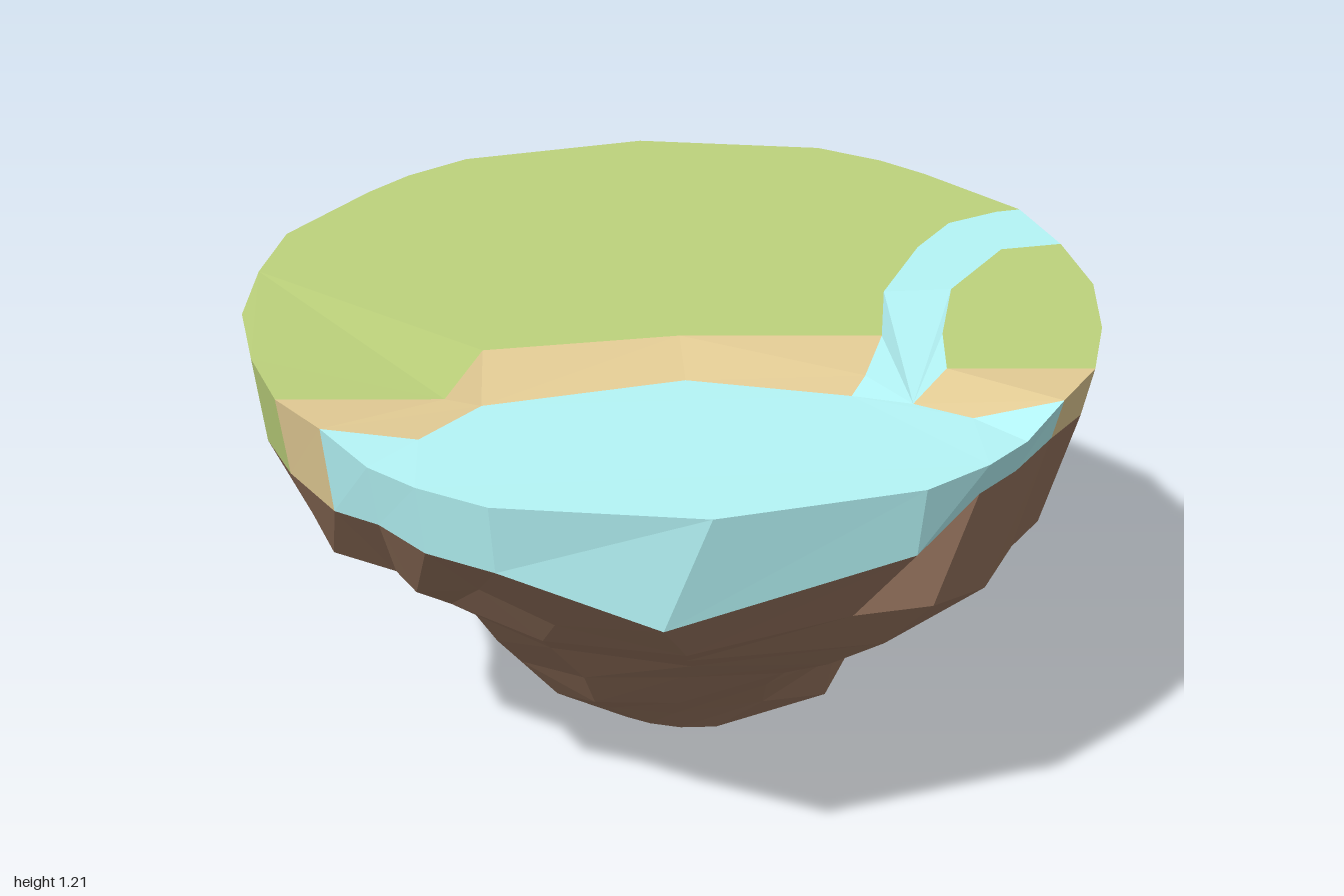
import * as THREE from 'three';

const TOP = 1.21, LAKE = 1.175, N = 26;
const COLORS = { grass: 0xbdd27c, sand: 0xe2cb94, water: 0xb4f4f6, rock: 0x96745e };

// Half outline of the rim (front to back along +x); the other half is mirrored
const HALF = [[0, 1], [0.46, 0.91], [0.61, 0.81], [0.71, 0.71], [0.81, 0.6], [0.91, 0.45], [0.97, 0.24],
  [1, 0], [0.97, -0.24], [0.91, -0.46], [0.71, -0.71], [0.61, -0.81], [0.46, -0.91], [0, -1]];
// Height of the lower edge of the coloured band, once round the rim
const LOW = [0.89, 1, 1.09, 1.09, 1.11, 1.09, 1.09, 1, 1.05, 1.09, 0.99, 0.95, 0.91,
  1, 0.95, 0.93, 0.92, 0.97, 1, 1, 1, 1.02, 1, 1.02, 1, 1];
// Rock levels: height, reach to -x, +x, +z, -z, and how many rim points share a corner
const LEVELS = [
  [0.78, 0.88, 0.88, 0.85, 0.85, 1],
  [0.67, 0.74, 0.69, 0.75, 0.76, 2],
  [0.55, 0.65, 0.61, 0.63, 0.67, 2],
  [0.44, 0.53, 0.51, 0.47, 0.59, 2],
  [0.32, 0.48, 0.46, 0.34, 0.54, 2],
  [0.20, 0.36, 0.41, 0.22, 0.51, 2],
  [0.10, 0.15, 0.20, 0.14, 0.30, 2]];

function makeRandom(seed) {
  return () => {
    seed = (seed * 16807) % 2147483647;
    return seed / 2147483647;
  };
}

function makeMesh(name, triangles, color) {
  const geometry = new THREE.BufferGeometry();
  geometry.setAttribute('position', new THREE.Float32BufferAttribute(triangles.flat(2), 3));
  geometry.computeVertexNormals();
  const mesh = new THREE.Mesh(geometry, new THREE.MeshStandardMaterial({ color, flatShading: true }));
  mesh.name = name;
  return mesh;
}

// Upward-facing surface from an outline of [x, y, z] corners
function patch(name, points, color) {
  const flat = points.map(([x, , z]) => new THREE.Vector2(x, -z));
  const triangles = THREE.ShapeUtils.triangulateShape(flat, []).map((face) => {
    const corners = face.map((i) => flat[i]);
    if (THREE.ShapeUtils.area(corners) < 0) face.reverse();
    return face.map((i) => points[i]);
  });
  return makeMesh(name, triangles, color);
}

// Two outward triangles joining a step of an upper and a lower loop, without slivers
function strip(upper, lower, k) {
  const j = (k + 1) % N;
  const same = (p, q) => p.every((v, i) => v === q[i]);
  const out = [];
  if (!same(lower[k], lower[j])) out.push([lower[k], lower[j], upper[j]]);
  if (!same(upper[k], upper[j])) out.push([lower[k], upper[j], upper[k]]);
  return out;
}

export function createModel() {
  const group = new THREE.Group();
  group.name = 'floatingIsland';

  // Rim loop, dipping to the lake surface at the front
  const rim = LOW.map((_, k) => {
    const [x, z] = HALF[k <= 13 ? k : N - k];
    return [k <= 13 ? x : -x, k < 4 || k > 22 ? LAKE - 0.005 : TOP, z];
  });
  const bandLow = rim.map(([x, , z], k) => [x * 0.975, LOW[k], z * 0.975]);
  bandLow[0][0] = -0.1;

  // Coloured band around the rim
  const band = { grass: [], sand: [], water: [] };
  for (let k = 0; k < N; k++) {
    const kind = k < 4 || k >= 22 ? 'water' : k === 4 || k === 21 ? 'sand' : 'grass';
    band[kind].push(...strip(rim, bandLow, k));
  }
  for (const kind in band) group.add(makeMesh(kind + 'Band', band[kind], COLORS[kind]));

  // Shorelines and river banks shared by the ground patches
  const at = (x, z, y = TOP) => [x, y, z];
  const mouthLeft = [at(0.46, 0.24), at(0.4, 0.4, 1.19), at(0.36, 0.47, LAKE)];
  const bankLeft = [at(0.85, -0.45), at(0.72, -0.39), at(0.62, -0.25), at(0.5, 0)];
  const bankRight = [at(0.82, -0.22), at(0.66, 0), at(0.6, 0.24), at(0.58, 0.42)];
  const mouthRight = at(0.49, 0.52, LAKE);
  const shore = [at(0, 0.36, LAKE), at(-0.46, 0.45, LAKE), at(-0.6, 0.6, LAKE)];
  const cove = at(0.61, 0.6, LAKE);
  const meadowEdge = [at(-0.54, 0.45, 1.195), at(-0.45, 0.24), at(0, 0.2)];

  // Ground patches
  group.add(patch('meadow', [...rim.slice(9, 22), ...meadowEdge, mouthLeft[0],
    ...[...bankLeft].reverse()], COLORS.grass));
  group.add(patch('riverbankMeadow', [...rim.slice(5, 9), ...bankRight], COLORS.grass));
  group.add(patch('beach', [shore[1], shore[0], ...[...mouthLeft].reverse(),
    ...[...meadowEdge].reverse()], COLORS.sand));
  group.add(patch('beachEnd', [rim[21], rim[22], shore[2], shore[1], meadowEdge[0]], COLORS.sand));
  group.add(patch('smallBeach', [rim[4], rim[5], bankRight[3], mouthRight, cove], COLORS.sand));

  // Flat lake, its two sloping corners and the river running down into it
  group.add(patch('lake', [...rim.slice(23), ...rim.slice(0, 4), cove, mouthRight,
    mouthLeft[2], ...shore], COLORS.water));
  group.add(patch('lakeCornerRight', [rim[22], rim[23], shore[2]], COLORS.water));
  group.add(patch('lakeCornerLeft', [rim[3], rim[4], cove], COLORS.water));
  group.add(patch('river', [mouthRight, ...[...bankRight].reverse(), rim[8], rim[9],
    ...bankLeft, ...mouthLeft], COLORS.water));

  // Rugged rock underside, tapering through uneven levels to a point
  const random = makeRandom(4721);
  const loops = [bandLow];
  LEVELS.forEach(([y, left, right, front, back, share], row) => {
    const blend = Math.min(1, (row + 1) / 4);
    const loop = [];
    for (let k = 0; k < N; k++) {
      if (k % share) {
        loop.push(loop[k - 1]);
        continue;
      }
      let rimAngle = Math.atan2(rim[k][0], rim[k][2]);
      if (rimAngle < 0) rimAngle += Math.PI * 2;
      const angle = THREE.MathUtils.lerp(rimAngle, (k / N) * Math.PI * 2, blend) + (random() - 0.5) * 0.1;
      const s = Math.sin(angle), c = Math.cos(angle);
      // fuller on one diagonal than on the other
      const reach = (0.925 + random() * 0.1) * (1 + s * c * (s * c > 0 ? 0.14 : 0.06));
      const lift = (random() - 0.5) * (row === 6 ? 0.02 : 0.06);
      loop.push([s * reach * (s > 0 ? right : left), y + lift, c * reach * (c > 0 ? front : back)]);
    }
    loops.push(loop);
  });
  loops.push(Array(N).fill([0.02, 0, -0.11]));
  const rock = [];
  for (let r = 0; r < loops.length - 1; r++) {
    for (let k = 0; k < N; k++) rock.push(...strip(loops[r], loops[r + 1], k));
  }
  group.add(makeMesh('rockUnderside', rock, COLORS.rock));

  return group;
}
